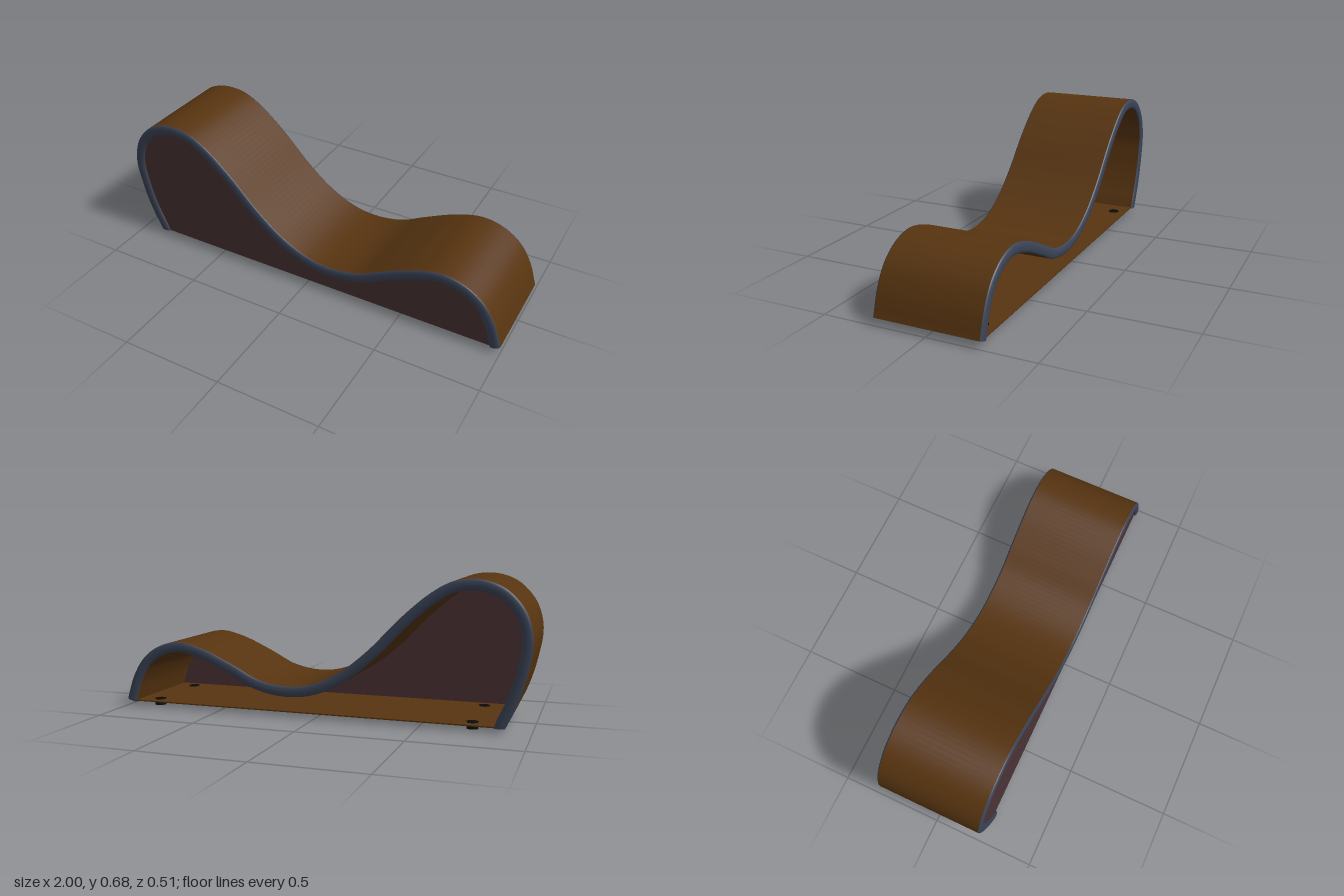
import * as THREE from 'three';

// Outer side profile of the wave-shaped shell, from the tall end to the low end
const PROFILE = [
  [-0.888, 0.023], [-0.94, 0.14], [-0.98, 0.28], [-0.998, 0.42], [-0.965, 0.54], [-0.89, 0.627],
  [-0.82, 0.663], [-0.74, 0.676], [-0.645, 0.662], [-0.553, 0.612], [-0.42, 0.5], [-0.26, 0.337],
  [-0.126, 0.23], [0.008, 0.166], [0.13, 0.148], [0.275, 0.17], [0.41, 0.235], [0.57, 0.305],
  [0.7, 0.334], [0.81, 0.31], [0.9, 0.246], [0.96, 0.15], [0.998, 0.035],
];
const STEPS = 120;
const THICK = 0.05; // shell thickness
const HALF = 0.247; // half width up to the rounded trim
const BULGE = 0.01; // how far the trim rounds out sideways

export function createModel() {
  const model = new THREE.Group();
  const mat = (name, color, side = THREE.FrontSide) => {
    const m = new THREE.MeshStandardMaterial({ color, side });
    m.name = name;
    return m;
  };
  const leather = mat('brown leather', 0x573410);
  const trimMat = mat('slate trim', 0x3a4356);
  const panelMat = mat('plum panel', 0x4a3235, THREE.DoubleSide);
  const footMat = mat('black rubber', 0x0b0b0b);

  const add = (name, geometry, material) => {
    const mesh = new THREE.Mesh(geometry, material);
    mesh.name = name;
    model.add(mesh);
    return mesh;
  };

  // Points and outward normals along the profile
  const curve = new THREE.CatmullRomCurve3(PROFILE.map(([x, y]) => new THREE.Vector3(x, y, 0)));
  const stations = [];
  for (let i = 0; i <= STEPS; i++) {
    const t = curve.getTangentAt(i / STEPS);
    // the tall end is cut level with the floor
    const n = i === 0 ? [-1, 0] : [-t.y, t.x];
    stations.push({ p: curve.getPointAt(i / STEPS), n });
  }
  const place = ({ p, n }, d, z) => [p.x - n[0] * d, p.y - n[1] * d, z];

  const build = (positions, index) => {
    const g = new THREE.BufferGeometry();
    g.setAttribute('position', new THREE.Float32BufferAttribute(positions, 3));
    g.setIndex(index);
    g.computeVertexNormals();
    return g;
  };

  // Sweeps a section of [depth, z] points along the profile
  const sweep = (section) => {
    const pos = [], idx = [], m = section.length;
    stations.forEach((s, i) => {
      section.forEach(([d, z]) => pos.push(...place(s, d, z)));
      if (i === STEPS) return;
      for (let j = 0; j < m - 1; j++) {
        const a = i * m + j, b = a + 1, c = a + m, e = c + 1;
        idx.push(a, b, c, b, e, c);
      }
    });
    return build(pos, idx);
  };

  // Half-oval trim section; side is +1 for the front, -1 for the back
  const trimSection = (side) => {
    const pts = [];
    for (let k = 0; k <= 10; k++) {
      const a = (k / 10) * Math.PI;
      const d = (THICK / 2) * (1 - side * Math.cos(a));
      pts.push([d, side * (HALF + BULGE * Math.sin(a))]);
    }
    return pts;
  };
  const frontTrim = trimSection(1);
  const backTrim = trimSection(-1);

  // Upholstery above and below, with rounded trim along both edges
  add('seatCover', sweep([[0, -HALF], [0, HALF]]), leather);
  add('innerLining', sweep([[THICK, HALF], [THICK, -HALF]]), leather);
  add('frontTrim', sweep(frontTrim), trimMat);
  add('backTrim', sweep(backTrim), trimMat);

  // Flat caps closing both ends of the shell
  const ring = [...frontTrim, ...backTrim];
  const cap = (station, flip) => {
    const idx = [];
    for (let j = 1; j < ring.length - 1; j++) idx.push(0, flip ? j + 1 : j, flip ? j : j + 1);
    return build(ring.flatMap(([d, z]) => place(station, d, z)), idx);
  };
  add('tallEndCap', cap(stations[0], true), trimMat);
  add('lowEndCap', cap(stations[STEPS], false), trimMat);

  // Front side panel filling the space under the shell; the back stays open
  const outline = stations.map((s) => {
    const [x, y] = place(s, THICK - 0.004, 0);
    return new THREE.Vector2(x, Math.max(y, 0.023));
  });
  const panel = add('sidePanel', new THREE.ShapeGeometry(new THREE.Shape(outline)), panelMat);
  panel.position.z = HALF - 0.002;

  // Floor board
  const floor = add('floorBoard', new THREE.BoxGeometry(1.79, 0.006, 2 * HALF - 0.006), leather);
  floor.position.set(0.055, 0.026, 0);

  // Four round feet, their fixings just showing through the floor
  for (const x of [-0.735, 0.85]) {
    for (const z of [-0.18, 0.18]) {
      const foot = add('foot', new THREE.CylinderGeometry(0.027, 0.027, 0.032, 20), footMat);
      foot.position.set(x, 0.016, z);
    }
  }
  return model;
}
